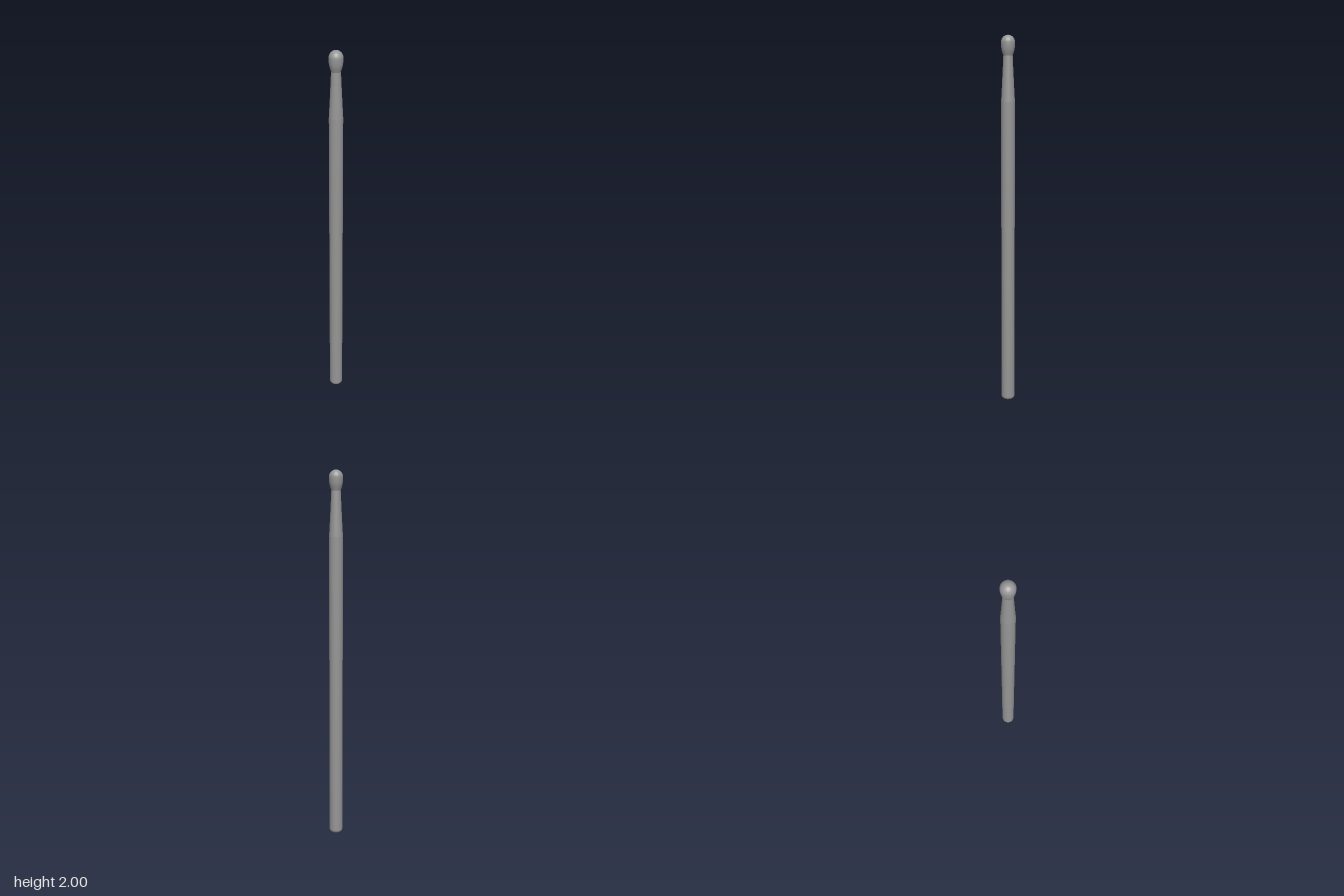
import * as THREE from 'three';

const SEGMENTS = 32;

// Turned part from [radius, height] pairs, listed bottom to top
function turned(name, profile, material, smooth = 0) {
  let points = profile.map(([r, y]) => new THREE.Vector2(r, y));
  if (smooth) points = new THREE.SplineCurve(points).getPoints(smooth);
  points.forEach((p) => { p.x = Math.max(p.x, 0); });
  const mesh = new THREE.Mesh(new THREE.LatheGeometry(points, SEGMENTS), material);
  mesh.name = name;
  return mesh;
}

export function createModel() {
  const group = new THREE.Group();
  group.name = 'drumstick';
  const material = new THREE.MeshStandardMaterial({ color: 0x969696 });
  const R = 0.0365;

  // Butt end: flat centre with a rounded rim
  const rim = 0.018;
  const butt = [[0, 0]];
  for (let i = 0; i <= 6; i++) {
    const a = (i / 6) * Math.PI / 2;
    butt.push([R - rim + rim * Math.sin(a), rim - rim * Math.cos(a)]);
  }
  group.add(turned('buttEnd', butt, material));

  // Straight shaft
  group.add(turned('shaft', [[R, rim], [R, 1.66]], material));

  // Shoulder tapering to the neck
  group.add(turned('shoulder', [[R, 1.66], [0.0315, 1.75], [0.0245, 1.895]], material, 12));

  // Acorn-shaped tip: flares out of the neck, then closes in a dome
  const tip = [[0.0245, 1.895], [0.0285, 1.907], [0.0335, 1.925], [0.036, 1.945]];
  for (let i = 0; i <= 6; i++) {
    const a = (i / 6) * Math.PI / 2;
    tip.push([R * Math.cos(a), 1.962 + 0.038 * Math.sin(a)]);
  }
  group.add(turned('tip', tip, material, 40));

  return group;
}
